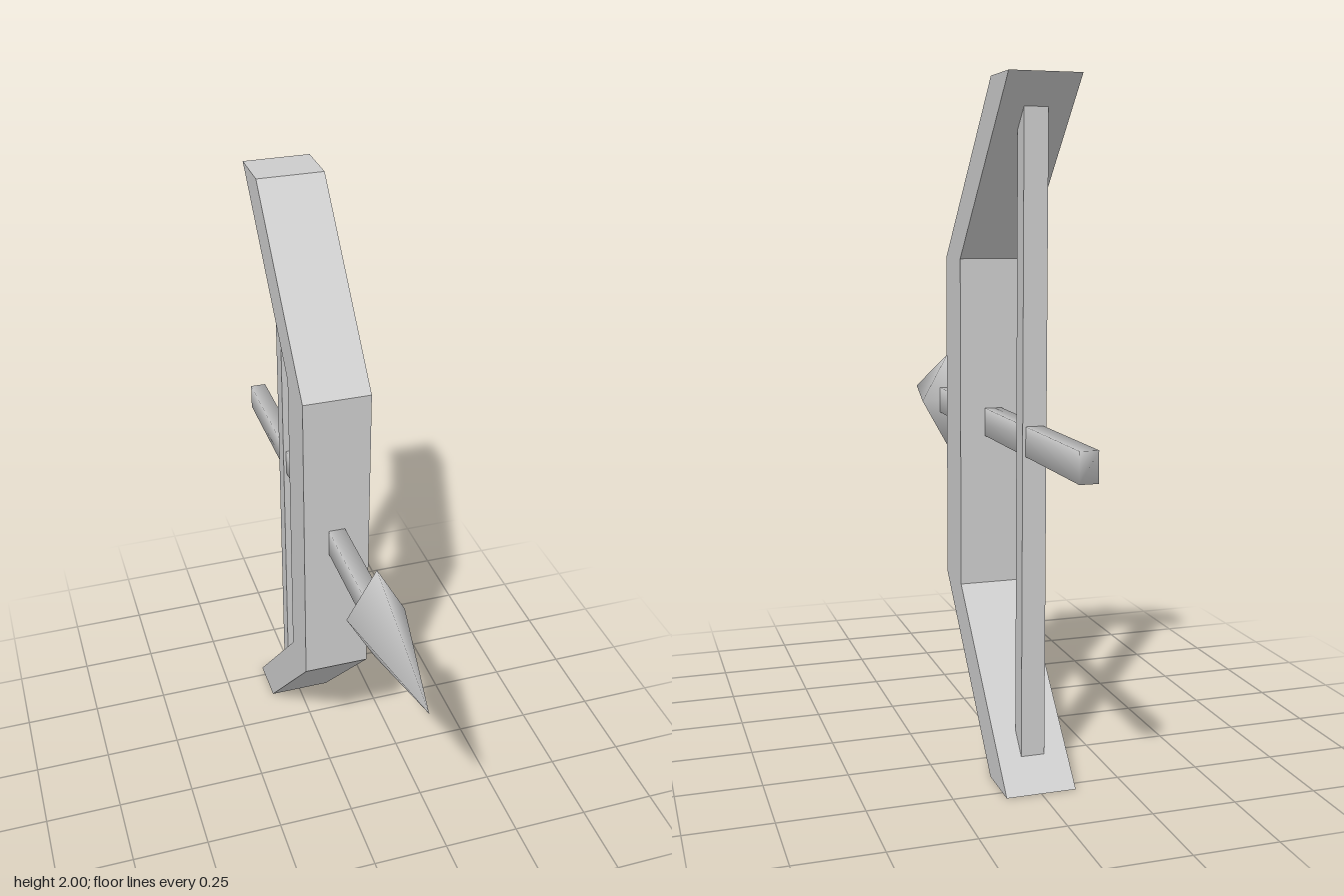
import * as THREE from 'three';
import { mergeVertices } from 'three/addons/utils/BufferGeometryUtils.js';

const grey = new THREE.MeshStandardMaterial({ color: 0xcccccc });

// Shares corners between faces so the shading runs softly over the edges
function soften(geometry) {
  geometry.deleteAttribute('normal');
  geometry.deleteAttribute('uv');
  const merged = mergeVertices(geometry, 1e-4);
  merged.computeVertexNormals();
  return merged;
}

export function createModel() {
  const group = new THREE.Group();
  const add = (name, geometry, x = 0, y = 0, z = 0) => {
    const mesh = new THREE.Mesh(geometry, grey);
    mesh.name = name;
    mesh.position.set(x, y, z);
    group.add(mesh);
  };

  // Bow: side profile (z, y) of the upper half, mirrored downwards
  const width = 0.208;
  const upper = [[0.075, 1.5], [-0.385, 2], [-0.54, 2], [-0.08, 1.5]];
  const lower = upper.map(([z, y]) => [z, 2 - y]).reverse();
  const profile = new THREE.Shape([...upper, ...lower].map(([z, y]) => new THREE.Vector2(z, y)));
  const bow = new THREE.ExtrudeGeometry(profile, { depth: width, bevelEnabled: false });
  bow.translate(0, 0, -width / 2).rotateY(-Math.PI / 2);
  add('bow', bow);

  // Bowstring: square-edged bar between the limbs
  add('bowstring', new THREE.BoxGeometry(0.07, 1.84, 0.055), 0, 1, -0.435);

  // Arrow: soft-shaded bar with a four-sided head
  add('arrowShaft', soften(new THREE.BoxGeometry(0.052, 0.085, 1.335)), 0, 1.004, -0.2075);
  const head = new THREE.ConeGeometry(1, 0.43, 4);
  head.rotateX(Math.PI / 2).scale(0.088, 0.158, 1);
  add('arrowHead', soften(head), 0, 1.002, 0.66);

  return group;
}
